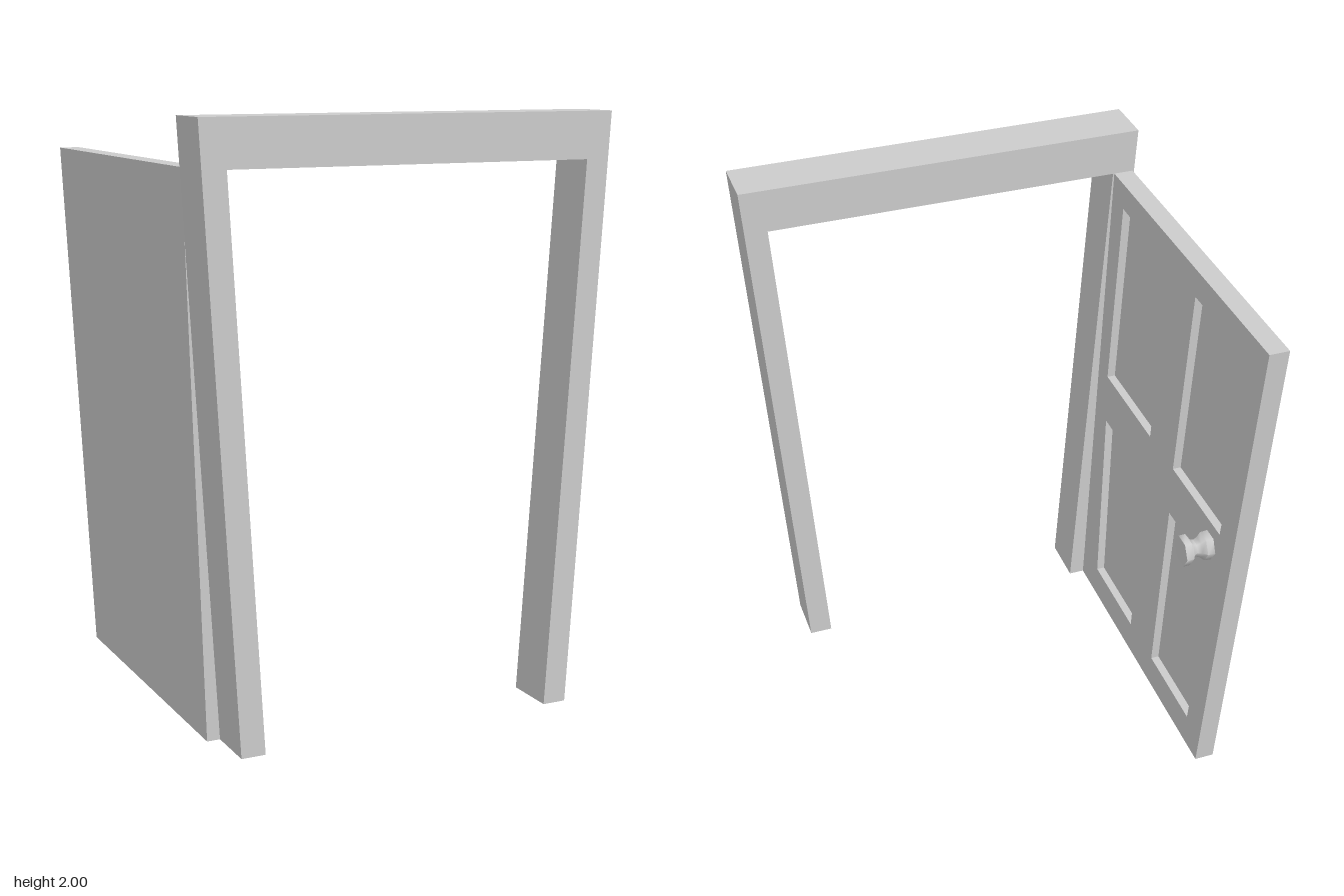
import * as THREE from 'three';
import { toCreasedNormals } from 'three/addons/utils/BufferGeometryUtils.js';

const material = new THREE.MeshStandardMaterial({ color: 0xcccccc });
const toPoints = (list) => list.map(([x, y]) => new THREE.Vector2(x, y));

function addMesh(parent, name, geometry) {
  const mesh = new THREE.Mesh(geometry, material);
  mesh.name = name;
  parent.add(mesh);
  return mesh;
}

const DOOR_TOP = 1.845;
const DOOR_LEAN = -0.06 / DOOR_TOP; // sideways shift per unit of height

// Door outline and panel corners as [-z, y]
const doorOutline = [[-0.53, 0], [0.61, 0], [0.71, DOOR_TOP], [-0.53, DOOR_TOP]];
const panels = [
  [[-0.445, 1.03], [-0.035, 1.03], [-0.015, 1.75], [-0.43, 1.755]],
  [[0.17, 1.03], [0.56, 1.03], [0.61, 1.755], [0.19, 1.75]],
  [[-0.39, 0.12], [-0.035, 0.12], [-0.025, 0.84], [-0.425, 0.84]],
  [[0.17, 0.12], [0.505, 0.12], [0.56, 0.84], [0.18, 0.84]],
];

// One layer of the door: extruded towards +x, then leaned with the frame
function doorLayer(x, depth, holes) {
  const shape = new THREE.Shape(toPoints(doorOutline));
  shape.holes = holes.map((h) => new THREE.Path(toPoints(h)));
  const geometry = new THREE.ExtrudeGeometry(shape, { depth, bevelEnabled: false });
  geometry.rotateY(Math.PI / 2).translate(x, 0, 0);
  const pos = geometry.attributes.position;
  for (let i = 0; i < pos.count; i++) {
    pos.setX(i, pos.getX(i) + DOOR_LEAN * pos.getY(i));
  }
  geometry.computeVertexNormals();
  return geometry;
}

export function createModel() {
  const model = new THREE.Group();
  model.name = 'openDoor';

  // Tapered door frame, narrower at the floor
  const frameShape = new THREE.Shape(toPoints([
    [-0.6, 0], [-0.517, 0], [-0.63, DOOR_TOP], [0.63, DOOR_TOP],
    [0.517, 0], [0.6, 0], [0.72, 2], [-0.72, 2],
  ]));
  const frame = new THREE.ExtrudeGeometry(frameShape, { depth: 0.18, bevelEnabled: false });
  addMesh(model, 'doorFrame', frame.translate(0, 0, 0.53));

  // Door swung open: plain backing plus a face layer with four sunken panels
  const door = new THREE.Group();
  door.name = 'door';
  model.add(door);
  addMesh(door, 'doorBacking', doorLayer(-0.645, 0.04, []));
  addMesh(door, 'panelledFace', doorLayer(-0.605, 0.03, panels));

  // Six-sided knob with a narrow neck, pointing along +x
  const knobProfile = toPoints([
    [0, 0], [0.052, 0], [0.05, 0.03], [0.036, 0.045], [0.03, 0.06],
    [0.034, 0.072], [0.055, 0.085], [0.055, 0.11], [0, 0.11],
  ]);
  const knobGeometry = toCreasedNormals(new THREE.LatheGeometry(knobProfile, 6), 1.1);
  const knob = addMesh(door, 'knob', knobGeometry);
  knob.rotation.z = -Math.PI / 2;
  knob.position.set(-0.61, 0.938, -0.497);

  return model;
}
